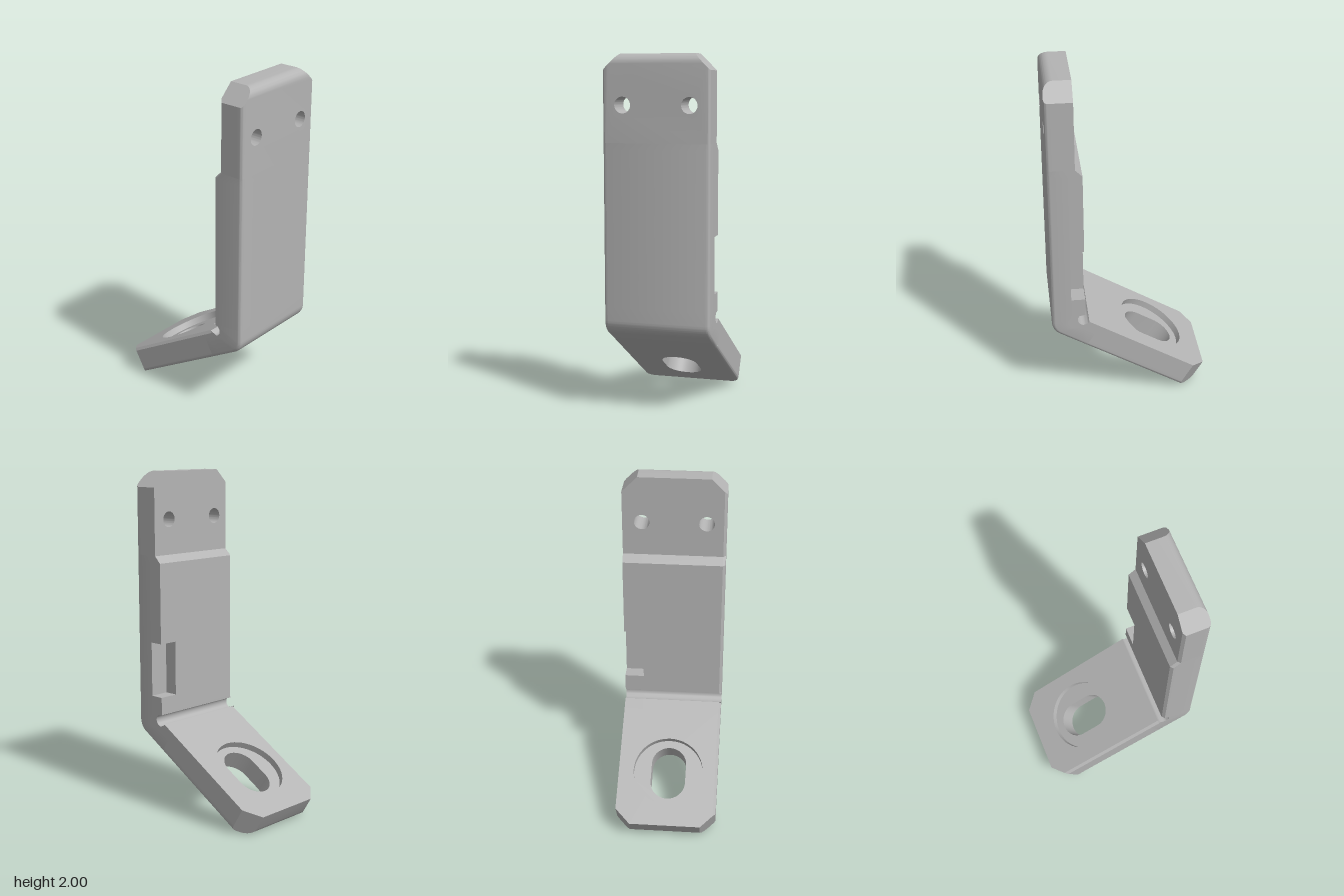
import * as THREE from 'three';
import { mergeGeometries, toCreasedNormals } from 'three/addons/utils/BufferGeometryUtils.js';

const W = 0.3, T = 0.155;          // half width, plate thickness
const FILLET = 0.02, END_R = 0.055; // outer edge and end rounding
const BEVEL = 0.015, CORNER = 0.09; // inner edge bevel, corner cut
const TILT = THREE.MathUtils.degToRad(31);
const S = Math.sin(TILT), C = Math.cos(TILT);
const V2 = (x, y) => new THREE.Vector2(x, y);
const V3 = (x, y, z) => new THREE.Vector3(x, y, z);

// Skin a stack of rings (counter-clockwise seen from the stacking direction)
function loft(rings, skip = -1) {
  const pos = [], n = rings[0].length;
  const tri = (a, b, c) => {
    const area = b.clone().sub(a).cross(c.clone().sub(a)).length();
    if (area > 1e-9) for (const p of [a, b, c]) pos.push(p.x, p.y, p.z);
  };
  for (let i = 0; i + 1 < rings.length; i++) {
    for (let k = 0; k < n; k++) {
      if (k === skip) continue;
      const m = (k + 1) % n, lo = rings[i], hi = rings[i + 1];
      tri(lo[k], lo[m], hi[m]);
      tri(lo[k], hi[m], hi[k]);
    }
  }
  return new THREE.BufferGeometry().setAttribute('position', new THREE.Float32BufferAttribute(pos, 3));
}

const atLevel = (pts, v) => pts.map(p => V3(p.x, p.y, v));

// Flat face with holes, facing +v or -v
function face(outline, holes, v, up) {
  const shape = new THREE.Shape(outline);
  shape.holes = holes.map(h => new THREE.Path(h));
  const g = new THREE.ShapeGeometry(shape).toNonIndexed();
  g.deleteAttribute('uv');
  g.deleteAttribute('normal');
  g.translate(0, 0, v);
  if (!up) {
    const a = g.attributes.position.array;
    for (let i = 0; i < a.length; i += 9)
      for (let j = 0; j < 3; j++) [a[i + 3 + j], a[i + 6 + j]] = [a[i + 6 + j], a[i + 3 + j]];
  }
  return g;
}

const holeWall = (pts, v0, v1) => {
  const r = [...pts].reverse();
  return loft([atLevel(r, v0), atLevel(r, v1)]);
};

// Circle, or slot when half > 0 (stretched along u)
function roundLoop(cx, cy, r, half = 0) {
  const pts = [], n = 24;
  for (const side of [0, 1])
    for (let i = 0; i <= n; i++) {
      if (half === 0 && i === n) continue;
      const a = Math.PI * (side + i / n);
      pts.push(V2(cx + r * Math.cos(a), cy + r * Math.sin(a) + (side ? -half : half)));
    }
  return pts;
}

// Outline of a plate with cut corners at thickness level v
function plateOutline(u0, end, v, bevelSide) {
  const inset = r => (v < r ? r - Math.sqrt(Math.max(0, r * r - (r - v) ** 2)) : 0);
  const e = end - inset(END_R), w = W - inset(FILLET);
  const b = Math.max(0, v - (T - BEVEL));
  const wp = w - (bevelSide > 0 ? b : 0), wm = w - (bevelSide < 0 ? b : 0);
  const k = end + W - CORNER;
  return [V2(-wm, u0), V2(wp, u0), V2(wp, k - wp), V2(k - e, e), V2(e - k, e), V2(-wm, k - wm)];
}

function plateParts(u0, end, bevelSide, outerHoles, innerHoles) {
  const levels = [T - BEVEL, T];
  for (let i = 0; i <= 8; i++) levels.push(END_R * (1 - Math.cos(i * Math.PI / 16)));
  for (let i = 1; i <= 4; i++) levels.push(FILLET * (1 - Math.cos(i * Math.PI / 8)));
  levels.sort((a, b) => a - b);
  const outline = v => plateOutline(u0, end, v, bevelSide);
  return [
    loft(levels.map(v => atLevel(outline(v), v)), 0),
    face(outline(0), outerHoles, 0, false),
    face(outline(T), innerHoles, T, true),
  ];
}

// Bent middle: sections swept from the wall step, round the bend, to the leg
function bendGeometry(origin, base) {
  const st = [];
  const add = (q, p, n, bevel = BEVEL, notch = false) => st.push({ q, p, n, bevel, notch });
  const X = V2(1, 0), legN = V2(S, -C), x0 = 0.455, xi = 0.26;
  const wall = (y, x = xi, notch = false) => add(V2(x, y), V2(x0, y), X, BEVEL, notch);
  wall(1.52, 0.3);
  wall(1.48);
  wall(1.01);
  wall(1.01, xi, true);
  wall(0.69, xi, true);
  wall(0.69);
  wall(0.61);
  // relief groove inside, rounded corner outside
  const R = 0.09, turn = Math.PI / 2 - TILT, gr = 0.036, N = 18;
  const gc = V2(0.27, 0.55);
  const kneeY = base.y + (x0 - base.x) * S / C;
  const centre = V2(x0 - R, kneeY + R * Math.tan(turn / 2));
  const a0 = THREE.MathUtils.degToRad(466), a1 = THREE.MathUtils.degToRad(209);
  const groove = t => {
    const a = a0 + (a1 - a0) * t;
    return V2(gc.x + gr * Math.cos(a), gc.y + gr * Math.sin(a));
  };
  add(groove(0), V2(x0, 0.608), X);
  add(groove(0), V2(x0, 0.608), X, 0);
  for (let i = 1; i < N; i++) {
    const a = -turn * (i - 1) / (N - 2), n = V2(Math.cos(a), Math.sin(a));
    add(groove(i / N), centre.clone().addScaledVector(n, R), n, 0);
  }
  const last = groove(1), foot = last.clone().addScaledVector(legN, T);
  add(last, foot, legN, 0);
  add(last, foot, legN);
  const d = V2(C, S);
  add(origin.clone().addScaledVector(d, 0.4), base.clone().addScaledVector(d, 0.4), legN);

  const NW = 0.115; // notch width
  const rings = st.map(({ q, p, n, bevel, notch }) => {
    const at = (xy, z) => V3(xy.x, xy.y, z);
    const fillet = [];
    for (let k = 0; k <= 4; k++) {
      const a = k * Math.PI / 8;
      fillet.push([p.clone().addScaledVector(n, -FILLET * (1 - Math.cos(a))), W - FILLET + FILLET * Math.sin(a)]);
    }
    const inward = p.clone().sub(q).normalize();
    const deep = q.clone().lerp(p, 0.41);
    return [
      ...fillet.map(([xy, z]) => at(xy, z)),
      at(q.clone().addScaledVector(inward, bevel), W), at(q, W - bevel),
      at(q, -W + NW), notch ? at(deep, -W + NW) : at(q, -W), at(deep, -W),
      ...fillet.reverse().map(([xy, z]) => at(xy, -z)),
    ];
  });
  return loft(rings);
}

export function createModel() {
  const group = new THREE.Group();
  const metal = new THREE.MeshStandardMaterial({ color: 0xb4b4b4 });
  metal.name = 'grey metal';
  const addPart = (name, parts, matrix) => {
    const g = mergeGeometries(parts);
    if (matrix) g.applyMatrix4(matrix);
    const mesh = new THREE.Mesh(toCreasedNormals(g, 0.5), metal);
    mesh.name = name;
    group.add(mesh);
  };

  // Upper wall with two screw holes
  const screws = [-1, 1].map(s => roundLoop(s * 0.187, 1.725, 0.045));
  addPart('upperWall',
    [...plateParts(1.52, 2, 1, screws, screws), ...screws.map(h => holeWall(h, 0, T))],
    new THREE.Matrix4().makeBasis(V3(0, 0, 1), V3(0, 1, 0), V3(-1, 0, 0)).setPosition(0.455, 0, 0));

  // Slanted leg with a slot in a round recess
  const origin = V2(-0.165, 0.29);
  const base = origin.clone().add(V2(S * T, -C * T));
  const slot = roundLoop(0, 0, 0.105, 0.058), recess = roundLoop(0, 0, 0.21);
  const floor = T - 0.039;
  addPart('slantedLeg',
    [...plateParts(-0.4, 0.344, -1, [slot], [recess]),
      face(recess, [slot], floor, true), holeWall(slot, 0, floor), holeWall(recess, floor, T)],
    new THREE.Matrix4().makeBasis(V3(0, 0, -1), V3(-C, -S, 0), V3(-S, C, 0)).setPosition(base.x, base.y, 0));

  // Thick lower wall, side notch and bend
  addPart('lowerWallAndBend', [bendGeometry(origin, base)]);
  return group;
}
